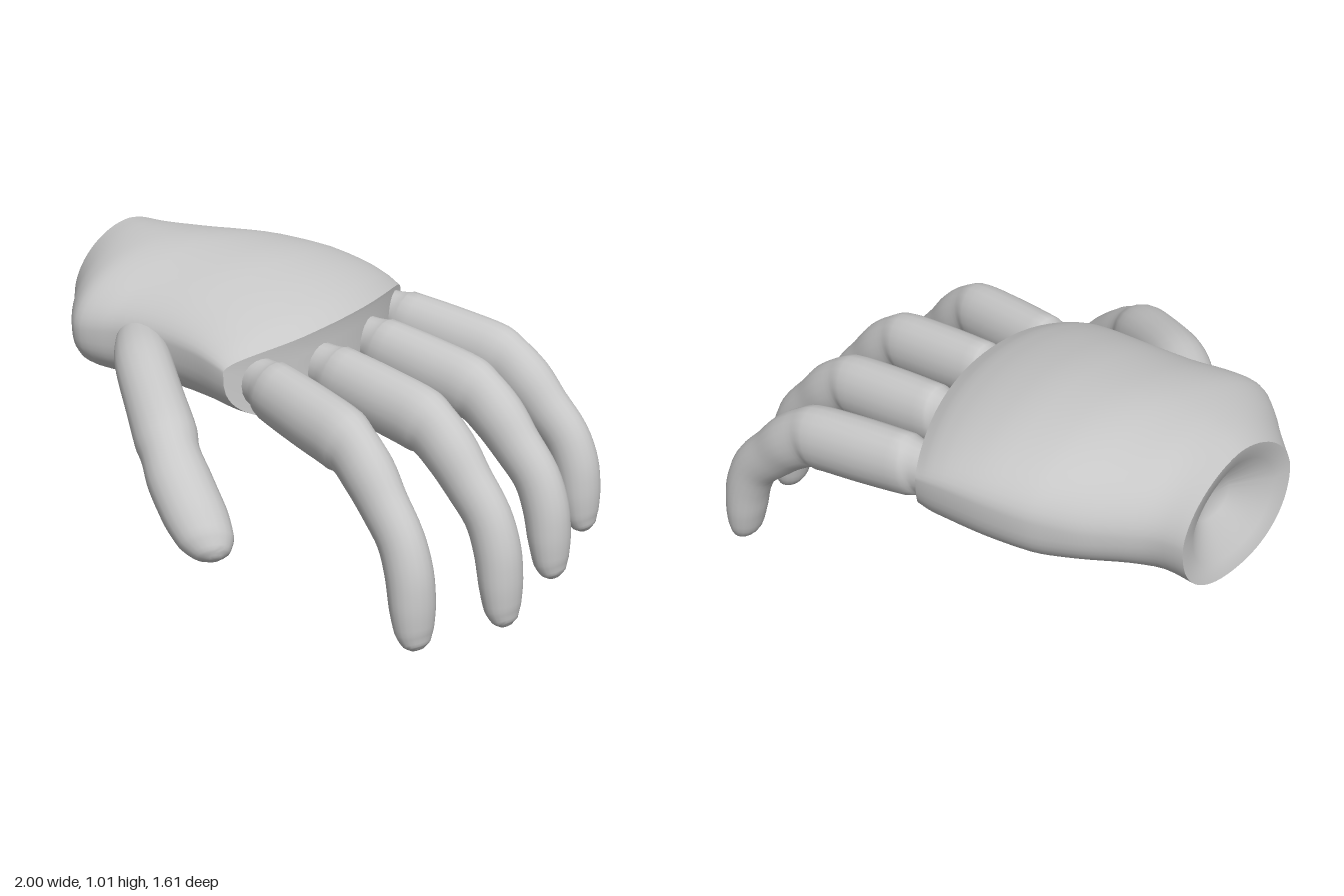
import * as THREE from 'three';
import { toCreasedNormals } from 'three/addons/utils/BufferGeometryUtils.js';

const V = (x, y, z) => new THREE.Vector3(x, y, z);

// Skin a list of rings and close both ends
function skin(rings, startCentre, endCentre, crease) {
  const n = rings[0].length, pos = [], idx = [];
  rings.forEach(r => r.forEach(p => pos.push(p.x, p.y, p.z)));
  pos.push(...startCentre.toArray(), ...endCentre.toArray());
  const s = rings.length * n, last = s - n;
  for (let j = 0; j < n; j++) {
    const k = (j + 1) % n;
    for (let i = 0; i < rings.length - 1; i++) {
      const a = i * n + j, b = i * n + k;
      idx.push(a, a + n, b, b, a + n, b + n);
    }
    idx.push(s, j, k, s + 1, last + k, last + j);
  }
  const g = new THREE.BufferGeometry();
  g.setAttribute('position', new THREE.Float32BufferAttribute(pos, 3));
  g.setIndex(idx);
  return toCreasedNormals(g, crease);
}

// Limb through points [x, y, z, radius in the bending plane, radius across]
function limb(points, sides = 20, steps = 4) {
  const path = new THREE.CatmullRomCurve3(points.map(p => V(p[0], p[1], p[2])));
  const radii = new THREE.CatmullRomCurve3(points.map(p => V(p[3], p[4], 0)));
  const first = path.getPoint(0), end = path.getPoint(1);
  const side = end.clone().sub(first).setY(0).normalize().cross(V(0, 1, 0));
  const rings = [], count = (points.length - 1) * steps;
  for (let i = 0; i <= count; i++) {
    const c = path.getPoint(i / count), r = radii.getPoint(i / count);
    const up = side.clone().cross(path.getTangent(i / count)).normalize();
    rings.push(Array.from({ length: sides }, (_, j) => {
      const a = j / sides * Math.PI * 2;
      return c.clone().addScaledVector(side, r.y * Math.cos(a)).addScaledVector(up, r.x * Math.sin(a));
    }));
  }
  return skin(rings, first, end, 1.0);
}

// Curved knuckle line at the front of the palm
const setback = z => z < 0 ? -0.48 * (z + 0.02) ** 2 : -1.0 * z * z;

function palmRing([x, z0, z1, top, mid, bottom], scale = 1, sides = 64) {
  const w = Math.max(0, (x + 1) / 1.11) ** 2;
  const c = (z0 + z1) / 2, h = (z1 - z0) / 2, cy = (top + bottom) / 2;
  // the section changes from the round wrist to the flat-bottomed knuckles
  const blend = THREE.MathUtils.smoothstep(x, -1, -0.5);
  const under = THREE.MathUtils.lerp(0.9, 0.62, blend);
  const over = THREE.MathUtils.lerp(1.12, 1.04, blend);
  return Array.from({ length: sides }, (_, j) => {
    const a = j / sides * Math.PI * 2, co = Math.cos(a), si = Math.sin(a);
    const e = si >= 0 ? over : under;
    const z = c + scale * h * Math.sign(co) * Math.abs(co) ** e;
    const y = mid + (si >= 0 ? (top - mid) : (mid - bottom)) * Math.sign(si) * Math.abs(si) ** e;
    return V(x + setback(z) * w, cy + (y - cy) * scale, z);
  });
}

function palmGeometry() {
  // x, right edge, left edge, top, widest height, bottom
  const stations = [
    [-1.0, -0.43, 0.13, 0.982, 0.75, 0.5],
    [-0.9, -0.455, 0.22, 0.995, 0.75, 0.52],
    [-0.8, -0.52, 0.315, 1.003, 0.75, 0.535],
    [-0.7, -0.585, 0.38, 1.007, 0.75, 0.54],
    [-0.6, -0.635, 0.365, 1.008, 0.76, 0.54],
    [-0.5, -0.675, 0.335, 1.004, 0.77, 0.54],
    [-0.3, -0.715, 0.312, 0.988, 0.78, 0.54],
    [-0.1, -0.733, 0.315, 0.945, 0.78, 0.54],
    [0.03, -0.737, 0.325, 0.9, 0.77, 0.54],
    [0.11, -0.735, 0.33, 0.855, 0.76, 0.55],
  ];
  const first = stations[0], last = stations[stations.length - 1];
  const edges = new THREE.CatmullRomCurve3(stations.map(s => V(s[0], s[1], s[2])));
  const heights = new THREE.CatmullRomCurve3(stations.map(s => V(s[3], s[4], s[5])));
  const count = (stations.length - 1) * 3;
  const rings = [];
  // hollow wrist end
  rings.push(palmRing([-0.9, ...first.slice(1)], 0.3));
  rings.push(palmRing([-0.985, ...first.slice(1)], 0.75));
  for (let i = 0; i <= count; i++) {
    rings.push(palmRing([...edges.getPoint(i / count).toArray(), ...heights.getPoint(i / count).toArray()]));
  }
  // front wall
  [0.9, 0.6, 0.35, 0.12].forEach(k => rings.push(palmRing([0.108, ...last.slice(1)], k)));
  return skin(rings, V(-0.88, 0.74, -0.15), V(0.093, 0.7, -0.2), 0.75);
}

// Finger profile: distance forward, height, radius in the bending plane, radius across
const fingerProfile = [
  [-0.12, 0.7, 0.085, 0.072], [0.03, 0.7, 0.092, 0.076], [0.08, 0.69, 0.112, 0.09],
  [0.3, 0.66, 0.118, 0.096], [0.465, 0.635, 0.118, 0.094], [0.515, 0.615, 0.108, 0.084],
  [0.59, 0.56, 0.102, 0.086], [0.67, 0.475, 0.092, 0.078], [0.76, 0.375, 0.085, 0.076],
  [0.805, 0.27, 0.081, 0.08], [0.825, 0.16, 0.073, 0.081], [0.838, 0.065, 0.058, 0.07],
  [0.852, 0.02, 0.038, 0.05], [0.858, 0.003, 0.016, 0.025],
];

// name, start x, length scale, start z, tip z, drop scale
const fingers = [
  ['indexFinger', 0.045, 0.975, 0.2, 0.312, 0.97],
  ['middleFinger', 0.1, 1.0, -0.055, -0.055, 1.0],
  ['ringFinger', 0.04, 1.0, -0.355, -0.395, 0.955],
  ['littleFinger', -0.088, 1.005, -0.615, -0.735, 0.925],
];

export function createModel() {
  const hand = new THREE.Group();
  hand.name = 'hand';
  const grey = new THREE.MeshStandardMaterial({ color: 0xc8c8c8 });
  grey.name = 'grey';
  const add = (name, geometry) => {
    const mesh = new THREE.Mesh(geometry, grey);
    mesh.name = name;
    hand.add(mesh);
  };

  add('palm', palmGeometry());

  for (const [name, x0, len, z0, z1, drop] of fingers) {
    add(name, limb(fingerProfile.map(([d, y, ry, rz]) => [
      x0 + d * len, 0.8 - (0.8 - y) * drop, z0 + (z1 - z0) * d / 0.858, ry, rz,
    ])));
  }

  // Thumb, rooted inside the side of the palm
  add('thumb', limb([
    [-0.6, 0.74, 0.17, 0.06, 0.06], [-0.46, 0.742, 0.295, 0.078, 0.088],
    [-0.32, 0.727, 0.402, 0.094, 0.102], [-0.15, 0.672, 0.51, 0.1, 0.104],
    [0.0, 0.606, 0.598, 0.108, 0.108], [0.06, 0.568, 0.633, 0.1, 0.1],
    [0.14, 0.51, 0.668, 0.1, 0.108], [0.24, 0.428, 0.697, 0.094, 0.108],
    [0.315, 0.365, 0.717, 0.076, 0.092], [0.355, 0.335, 0.728, 0.046, 0.056],
    [0.368, 0.325, 0.731, 0.018, 0.02],
  ]));

  return hand;
}
